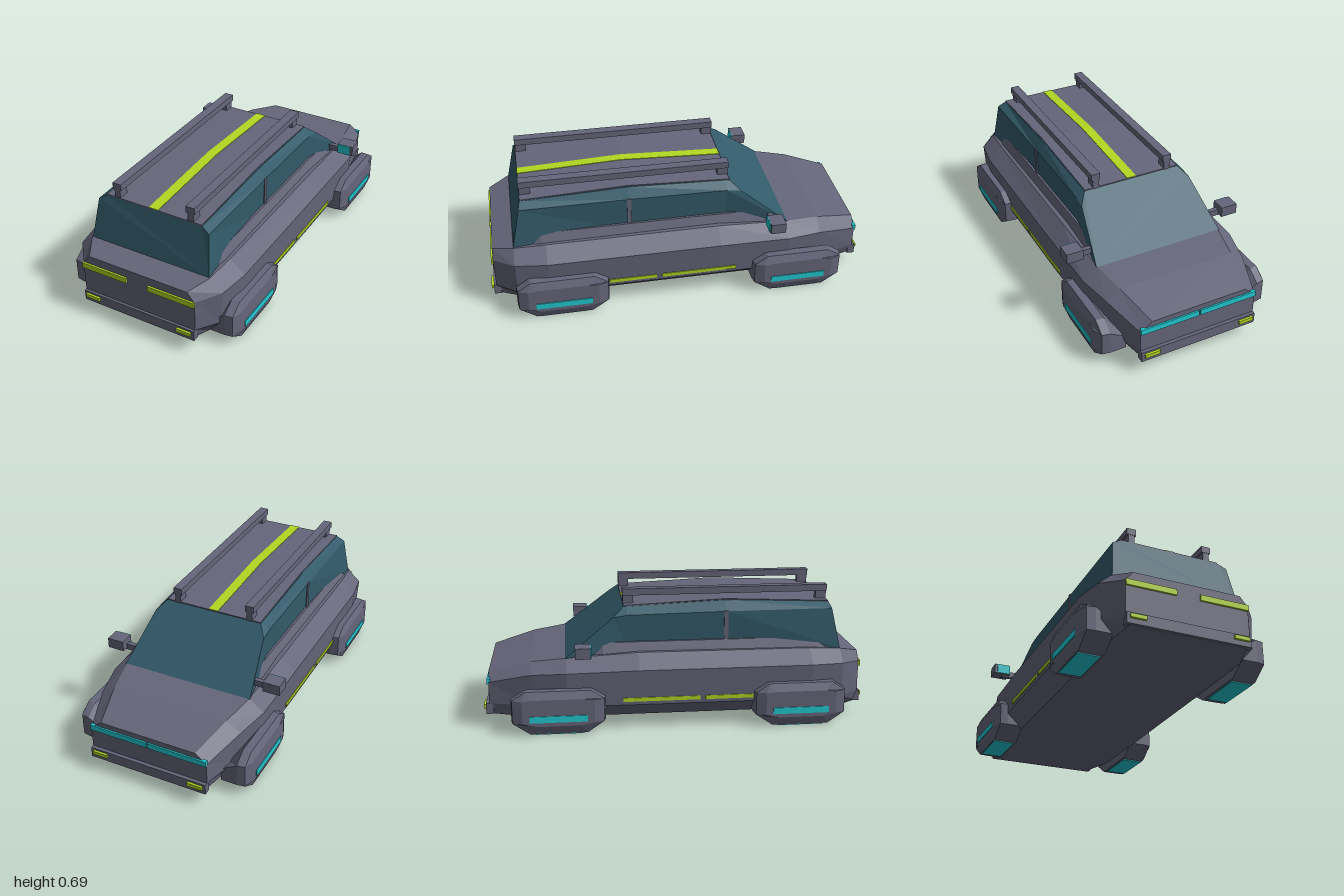
import * as THREE from 'three';

const mat = (name, color) => {
  const m = new THREE.MeshStandardMaterial({ color });
  m.name = name;
  return m;
};

// Faceted skin over rings; rings run from +z to -z (or +x to -x), each counter-clockwise
function loft(rings) {
  const pos = [];
  const tri = (a, b, c) => pos.push(...a, ...b, ...c);
  const n = rings[0].length;
  for (let i = 0; i < rings.length - 1; i++) {
    for (let j = 0; j < n; j++) {
      const k = (j + 1) % n, p = rings[i], q = rings[i + 1];
      tri(p[j], q[j], p[k]);
      tri(p[k], q[j], q[k]);
    }
  }
  const first = rings[0], last = rings[rings.length - 1];
  for (let j = 1; j < n - 1; j++) {
    tri(first[0], first[j], first[j + 1]);
    tri(last[0], last[j + 1], last[j]);
  }
  const g = new THREE.BufferGeometry();
  g.setAttribute('position', new THREE.Float32BufferAttribute(pos, 3));
  g.computeVertexNormals();
  return g;
}

// Half section on +x, listed bottom to top, completed by its mirror image
const mirrorRing = half => [...half, ...half.slice().reverse().map(([x, y, z]) => [-x, y, z])];

export function createModel() {
  const car = new THREE.Group();
  car.name = 'hoverWagon';
  const paint = mat('greyPaint', 0x66667b);
  const glass = mat('darkTealGlass', 0x335b6b);
  const lime = mat('limeLight', 0xb2d822);
  const cyan = mat('cyanLight', 0x22ccd4);

  const add = (name, geo, m) => {
    const mesh = new THREE.Mesh(geo, m);
    mesh.name = name;
    car.add(mesh);
    return mesh;
  };
  // Box given by its limits on each axis
  const box = (name, m, [x0, x1], [y0, y1], [z0, z1]) => {
    const b = add(name, new THREE.BoxGeometry(Math.abs(x1 - x0), y1 - y0, Math.abs(z1 - z0)), m);
    b.position.set((x0 + x1) / 2, (y0 + y1) / 2, (z0 + z1) / 2);
  };

  // Body: z, floor half width and y, side half width, shoulder half width and y, deck half width and y
  const sections = [
    [0.975, 0.30, 0.07, 0.32, 0.32, 0.295, 0.28, 0.343],
    [0.865, 0.33, 0.05, 0.40, 0.41, 0.312, 0.34, 0.373],
    [0.70, 0.34, 0.05, 0.425, 0.435, 0.315, 0.355, 0.385],
    [-0.20, 0.34, 0.05, 0.425, 0.435, 0.315, 0.36, 0.39],
    [-0.57, 0.34, 0.05, 0.42, 0.43, 0.308, 0.35, 0.368],
    [-0.75, 0.33, 0.05, 0.38, 0.39, 0.295, 0.315, 0.346],
    [-0.97, 0.30, 0.07, 0.32, 0.32, 0.243, 0.26, 0.29],
  ];
  add('body', loft(sections.map(([z, fw, fy, sw, hw, hy, dw, dy]) =>
    mirrorRing([[fw, fy, z], [sw, 0.13, z], [hw, hy, z], [dw, dy, z]]))), paint);

  // Cabin glass with raked windscreen and rear window
  add('cabinGlass', loft([
    mirrorRing([[0.335, 0.375, 0.865], [0.312, 0.585, 0.82], [0.27, 0.612, 0.81]]),
    mirrorRing([[0.305, 0.385, 0.26], [0.31, 0.582, 0.26], [0.275, 0.635, 0.26]]),
    mirrorRing([[0.305, 0.385, -0.25], [0.31, 0.575, -0.25], [0.27, 0.613, -0.255]]),
    mirrorRing([[0.355, 0.367, -0.575], [0.312, 0.565, -0.325], [0.27, 0.612, -0.27]]),
  ]), glass);

  // Roof skin and its centre stripe follow the arched roof line
  const roofStrip = (name, m, w, lift, t) => add(name, loft(
    [[0.81, 0.612], [0.26, 0.635], [-0.27, 0.612]].map(([z, y]) =>
      mirrorRing([[w, y + lift, z], [w, y + lift + t, z]]))), m);
  roofStrip('roofPanel', paint, 0.268, -0.002, 0.007);
  roofStrip('roofStripe', lime, 0.026, 0.003, 0.005);

  // Rear and front bumpers with fog lights
  for (const [end, s] of [['rear', 1], ['front', -1]]) {
    box(end + 'Bumper', paint, [-0.32, 0.32], [0.072, 0.128], [s * 0.95, s * 0.988]);
    for (const m of [1, -1])
      box(end + 'FogLight', lime, [m * 0.225, m * 0.305], [0.098, 0.118], [s * 0.985, s * 1.0]);
  }

  for (const s of [1, -1]) {
    // Tail lamps and nose light bar
    box('tailLamp', lime, [s * 0.062, s * 0.32], [0.268, 0.298], [0.97, 0.985]);
    box('noseLight', cyan, [s * 0.004, s * 0.32], [0.232, 0.262], [-0.96, -0.978]);

    // Sill below the side windows and the centre pillar
    const sill = [[0.80, 0.385], [0.72, 0.435], [-0.38, 0.435], [-0.48, 0.375]].map(([z, top]) => {
      const r = [[0.29, 0.36, z], [0.345, 0.37, z], [0.318, top, z], [0.29, top, z]];
      return s > 0 ? r : r.map(([x, y, w]) => [-x, y, w]).reverse();
    });
    add('windowSill', loft(sill), paint);
    box('centrePillar', paint, [s * 0.304, s * 0.314], [0.43, 0.585], [0.25, 0.272]);

    // Running lights along the flank
    box('sideLight', lime, [s * 0.42, s * 0.431], [0.149, 0.169], [0.14, 0.39]);
    box('sideLight', lime, [s * 0.42, s * 0.431], [0.149, 0.169], [-0.285, 0.112]);

    // Roof rail
    box('roofRail', paint, [s * 0.182, s * 0.23], [0.66, 0.695], [-0.272, 0.81]);
    for (const z of [0.78, -0.243])
      box('railPost', paint, [s * 0.19, s * 0.222], [0.605, 0.665], [z - 0.028, z + 0.028]);

    // Door mirror
    box('mirrorArm', paint, [s * 0.33, s * 0.44], [0.392, 0.425], [-0.49, -0.465]);
    box('mirrorHousing', paint, [s * 0.40, s * 0.49], [0.40, 0.455], [-0.525, -0.447]);
    box('mirrorFace', cyan, [s * 0.402, s * 0.475], [0.401, 0.454], [-0.45, -0.442]);

    // Hover pods with side strip and glowing underside
    const outline = [[0.24, 0.065], [0.15, 0.005], [-0.15, 0.005], [-0.24, 0.065],
      [-0.24, 0.185], [-0.17, 0.23], [0.17, 0.23], [0.24, 0.185]];
    for (const cz of [0.633, -0.615]) {
      // x, length scale, height limit
      const rings = [[0.48, 0.76, 0.19], [0.462, 0.97, 0.23], [0.42, 1, 0.23], [0.335, 1, 0.135]]
        .map(([x, k, top], i) => outline.map(([z, y]) =>
          [s * x, i === 0 ? Math.max(0.05, Math.min(y, top)) : Math.min(y, top), cz + z * k]));
      add('hoverPod', loft(s > 0 ? rings : rings.reverse()), paint);
      box('podStrip', cyan, [s * 0.476, s * 0.484], [0.071, 0.105], [cz - 0.146, cz + 0.146]);
      box('podGlow', cyan, [s * 0.345, s * 0.458], [0, 0.009], [cz - 0.12, cz + 0.12]);
    }
  }
  return car;
}
